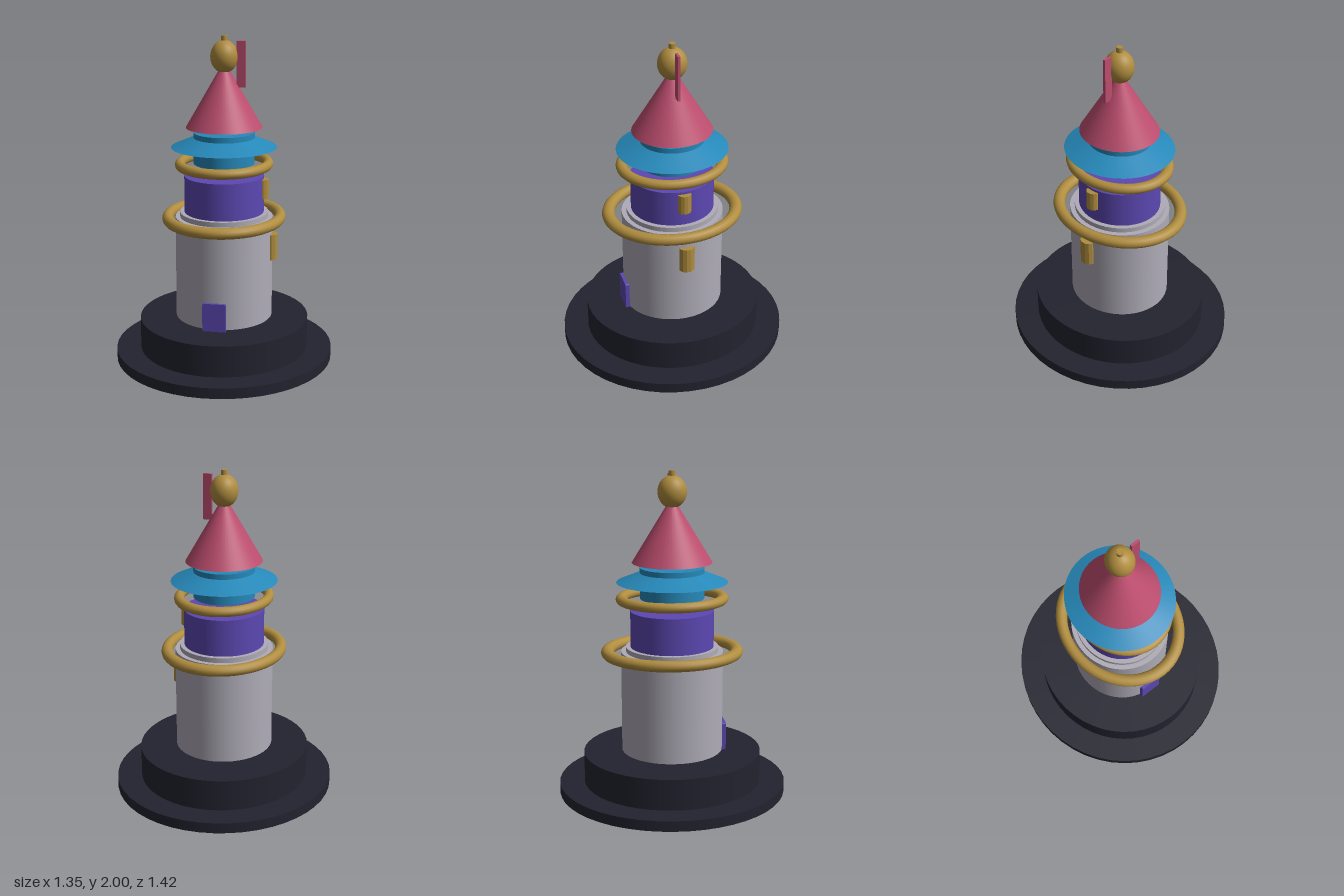
import * as THREE from 'three';

const material = (name, color) => {
  const m = new THREE.MeshStandardMaterial({ color });
  m.name = name;
  return m;
};

export function createModel() {
  const model = new THREE.Group();
  model.name = 'tower';
  const slate = material('dark slate', 0x232330);
  const stone = material('pale stone', 0xafacb7);
  const gold = material('old gold', 0xb08d3f);
  const purple = material('purple', 0x5c48b2);
  const blue = material('blue', 0x2689ba);
  const rose = material('rose', 0xbc4d6e);

  const add = (name, geometry, mat, x = 0, y = 0, z = 0) => {
    const mesh = new THREE.Mesh(geometry, mat);
    mesh.name = name;
    mesh.position.set(x, y, z);
    model.add(mesh);
    return mesh;
  };
  // Round tier between two heights, slightly oval in plan
  const tier = (name, mat, rx, rz, y0, y1, top = rx) => {
    const g = new THREE.CylinderGeometry(top, rx, y1 - y0, 48);
    g.scale(1, 1, rz / rx);
    return add(name, g, mat, 0, (y0 + y1) / 2, 0);
  };
  // Floating oval ring lying flat
  const ring = (name, rx, rz, tube, y) => {
    const g = new THREE.TorusGeometry(rx, tube, 14, 56);
    g.rotateX(Math.PI / 2);
    g.scale(1, 1, rz / rx);
    return add(name, g, gold, 0, y, 0);
  };

  // Stepped base
  tier('baseDisk', slate, 0.673, 0.708, 0, 0.065);
  tier('baseStep', slate, 0.522, 0.553, 0.065, 0.258);

  // Stone body and the storeys above it
  tier('towerBody', stone, 0.298, 0.314, 0.267, 0.9);
  tier('towerCap', stone, 0.27, 0.284, 0.9, 0.93);
  tier('middleStorey', purple, 0.243, 0.256, 0.93, 1.155);
  tier('upperStorey', blue, 0.185, 0.196, 1.23, 1.42);
  ring('lowerRing', 0.343, 0.398, 0.034, 0.895);
  ring('upperRing', 0.267, 0.309, 0.03, 1.227);

  // Roofs
  tier('eaves', blue, 0.321, 0.339, 1.33, 1.467, 0);
  tier('spire', rose, 0.231, 0.244, 1.45, 1.85, 0);

  // Finial and flag
  const ball = new THREE.SphereGeometry(1, 32, 20);
  ball.scale(0.083, 0.098, 0.088);
  add('finialBall', ball, gold, 0, 1.875, 0);
  tier('finialTip', gold, 0.019, 0.02, 1.95, 2);
  add('flag', new THREE.BoxGeometry(0.055, 0.275, 0.016), rose, 0.103, 1.832, 0);

  // Door with softened top corners
  const r = 0.012, w = 0.071, h = 0.175;
  const door = new THREE.Shape();
  door.moveTo(-w, 0);
  door.lineTo(w, 0);
  door.lineTo(w, h - r);
  door.quadraticCurveTo(w, h, w - r, h);
  door.lineTo(-w + r, h);
  door.quadraticCurveTo(-w, h, -w, h - r);
  add('door', new THREE.ExtrudeGeometry(door, { depth: 0.05, bevelEnabled: false }), purple, 0, 0.26, 0.28);

  // Faceted bay windows on the left side
  for (const [name, x, y, height, rx, rz] of [
    ['lowerWindow', 0.293, 0.72, 0.16, 0.041, 0.048],
    ['upperWindow', 0.24, 1.08, 0.12, 0.037, 0.041],
  ]) {
    const g = new THREE.CylinderGeometry(1, 1, height, 12).toNonIndexed();
    g.rotateY(Math.PI / 12);
    g.scale(rx, 1, rz);
    g.computeVertexNormals();
    add(name, g, gold, x, y, 0);
  }
  return model;
}
